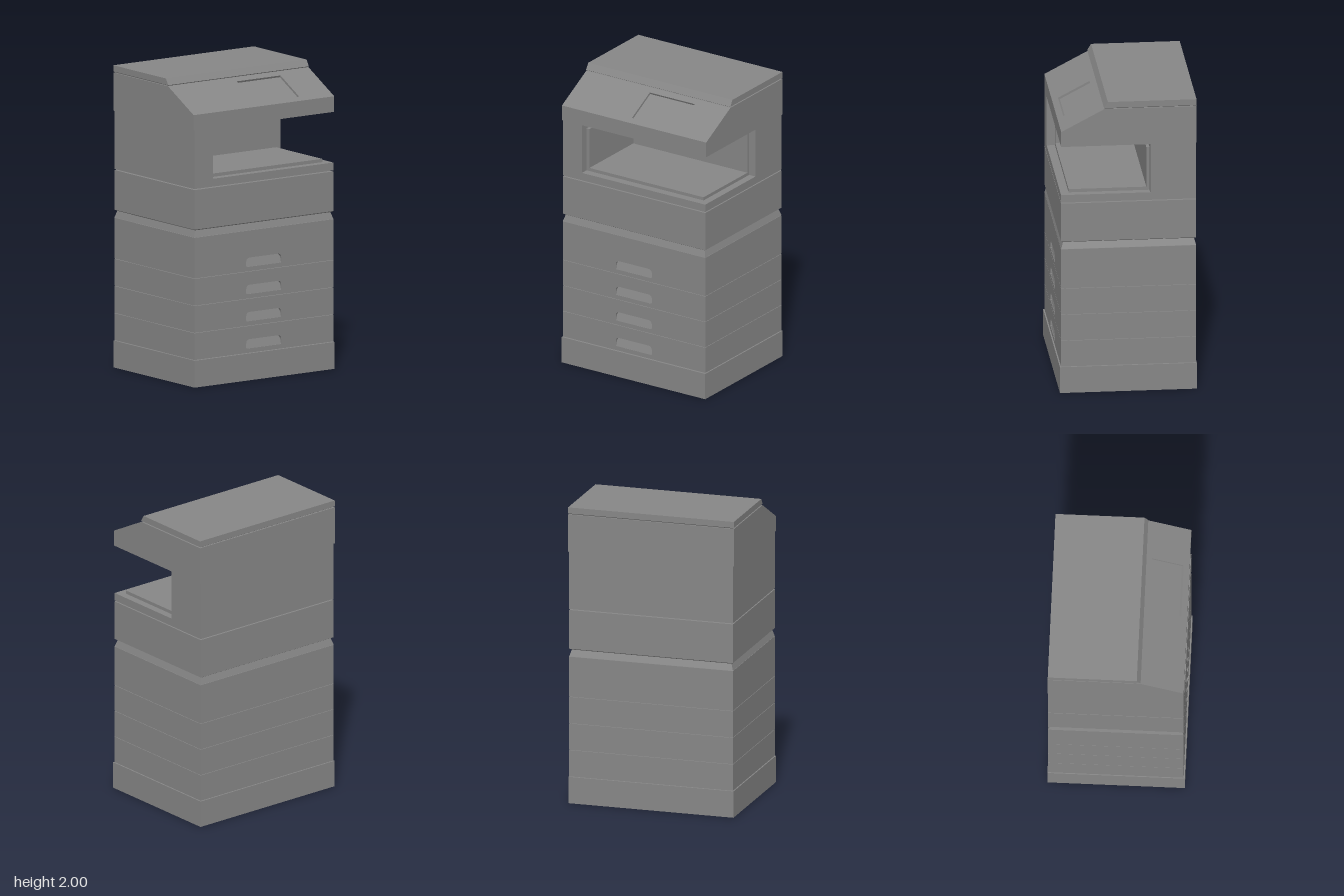
import * as THREE from 'three';

const grey = new THREE.MeshStandardMaterial({ color: 0x868686 });

export function createModel() {
  const root = new THREE.Group();

  const add = (name, geometry) => {
    const mesh = new THREE.Mesh(geometry, grey);
    mesh.name = name;
    root.add(mesh);
  };
  // box given by its limits on each axis, its top or bottom drawn in to make sloping sides
  const block = (name, x0, x1, y0, y1, z0, z1, topInset = 0, bottomInset = 0) => {
    const g = new THREE.BoxGeometry(x1 - x0, y1 - y0, z1 - z0);
    const p = g.attributes.position;
    for (let i = 0; i < p.count; i++) {
      const inset = p.getY(i) > 0 ? topInset : bottomInset;
      p.setX(i, p.getX(i) - Math.sign(p.getX(i)) * inset);
      p.setZ(i, p.getZ(i) - Math.sign(p.getZ(i)) * inset);
    }
    g.computeVertexNormals();
    add(name, g.translate((x0 + x1) / 2, (y0 + y1) / 2, (z0 + z1) / 2));
  };
  const shapeOf = pts => new THREE.Shape(pts.map(p => new THREE.Vector2(p[0], p[1])));
  // side profile in [z, y], swept from x0 to x1
  const sweepX = (name, pts, x0, x1) => {
    const g = new THREE.ExtrudeGeometry(shapeOf(pts), { depth: x1 - x0, bevelEnabled: false });
    add(name, g.rotateY(-Math.PI / 2).translate(x1, 0, 0));
  };
  // floor plan in [x, z], raised from y0 to y1
  const sweepY = (name, pts, y0, y1) => {
    const g = new THREE.ExtrudeGeometry(shapeOf(pts.map(([x, z]) => [x, -z])), { depth: y1 - y0, bevelEnabled: false });
    add(name, g.rotateX(-Math.PI / 2).translate(0, y0, 0));
  };

  const W = 0.56, F = 0.44, B = -0.443; // half width, front and back

  // plinth
  block('base', -0.565, 0.565, 0, 0.178, -0.447, 0.448);

  // handle opening: wide top corner rounding, small bottom corners
  const hx0 = -0.143, hx1 = 0.14, hh = 0.061;
  const handleHole = y => {
    const y1 = y + hh, R = 0.03, r = 0.01;
    const h = new THREE.Path();
    h.moveTo(hx0 + r, y);
    h.lineTo(hx1 - r, y);
    h.quadraticCurveTo(hx1, y, hx1, y + r);
    h.lineTo(hx1, y1 - R);
    h.quadraticCurveTo(hx1, y1, hx1 - R, y1);
    h.lineTo(hx0 + R, y1);
    h.quadraticCurveTo(hx0, y1, hx0, y1 - R);
    h.lineTo(hx0, y + r);
    h.quadraticCurveTo(hx0, y, hx0 + r, y);
    return h;
  };

  // four drawers, each a body behind a front plate with a scooped handle recess
  const recess = 0.022;
  for (let i = 0; i < 4; i++) {
    const y0 = 0.181 + i * 0.18, y1 = i === 3 ? 0.99 : y0 + 0.177;
    const hy = 0.21 + i * 0.18;
    block('drawerBody', -W, W, y0, y1, B, F - recess);
    const front = shapeOf([[-W, y0], [W, y0], [W, y1], [-W, y1]]);
    front.holes.push(handleHole(hy));
    const g = new THREE.ExtrudeGeometry(front, { depth: recess, bevelEnabled: false, curveSegments: 6 });
    add('drawerFront', g.translate(0, 0, F - recess));
    sweepX('handleScoop', [[F - recess, hy], [F - 0.003, hy], [F - recess, hy + hh]], hx0, hx1);
  }

  // chamfered top of the drawer cabinet
  block('cabinetCollar', -W, W, 0.992, 1.036, B, F, 0.014);

  // print engine on an undercut edge, and the bay floor above it
  block('engineUndercut', -W, W, 1.036, 1.044, B, F, 0, 0.014);
  block('printEngine', -W, W, 1.044, 1.306, B, F);
  block('bayBase', -W, W, 1.313, 1.365, B, F);

  // L-shaped wall around the paper bay, open to the front and the +x side
  const bayTop = 1.7, bz = -0.143;
  sweepY('bayWall', [[-W, B], [W, B], [W, bz], [-0.41, bz], [-0.41, F], [-W, F]], 1.365, bayTop);

  // low bay lining and tray, set back from the outer faces
  sweepY('bayLining', [[-0.41, bz], [0.51, bz], [0.51, -0.122], [-0.387, -0.122], [-0.387, 0.386], [-0.41, 0.386]], 1.365, 1.66);
  block('outputTray', -0.41, 0.51, 1.365, 1.387, bz, 0.386);

  // scanner housing; the middle section is notched for the control panel
  const top = [0.158, 1.952], low = [0.44, 1.803];
  const slope = (z, d) => {
    const dz = low[0] - top[0], dy = low[1] - top[1], len = Math.hypot(dz, dy);
    return [z + d * dy / len, top[1] + (z - top[0]) * dy / dz - d * dz / len];
  };
  const S = 0.567;
  const under = [[-0.445, bayTop], [0.44, bayTop], low];
  const over = [top, [-0.445, 1.952]];
  const notch = [slope(0.402, 0), slope(0.396, 0.014), slope(0.196, 0.014), slope(0.196, 0)];
  sweepX('scannerHousingRight', [...under, ...over], -S, -0.042);
  sweepX('controlPanel', [...under, ...notch, ...over], -0.042, 0.312);
  sweepX('scannerHousingLeft', [...under, ...over], 0.312, S);

  // lid on an undercut seam
  block('lidUndercut', -S, S, 1.952, 1.959, -0.445, 0.16, 0, 0.012);
  sweepX('lid', [[-0.445, 1.959], [0.16, 1.959], [0.135, 2], [-0.445, 2]], -S, S);

  return root;
}
